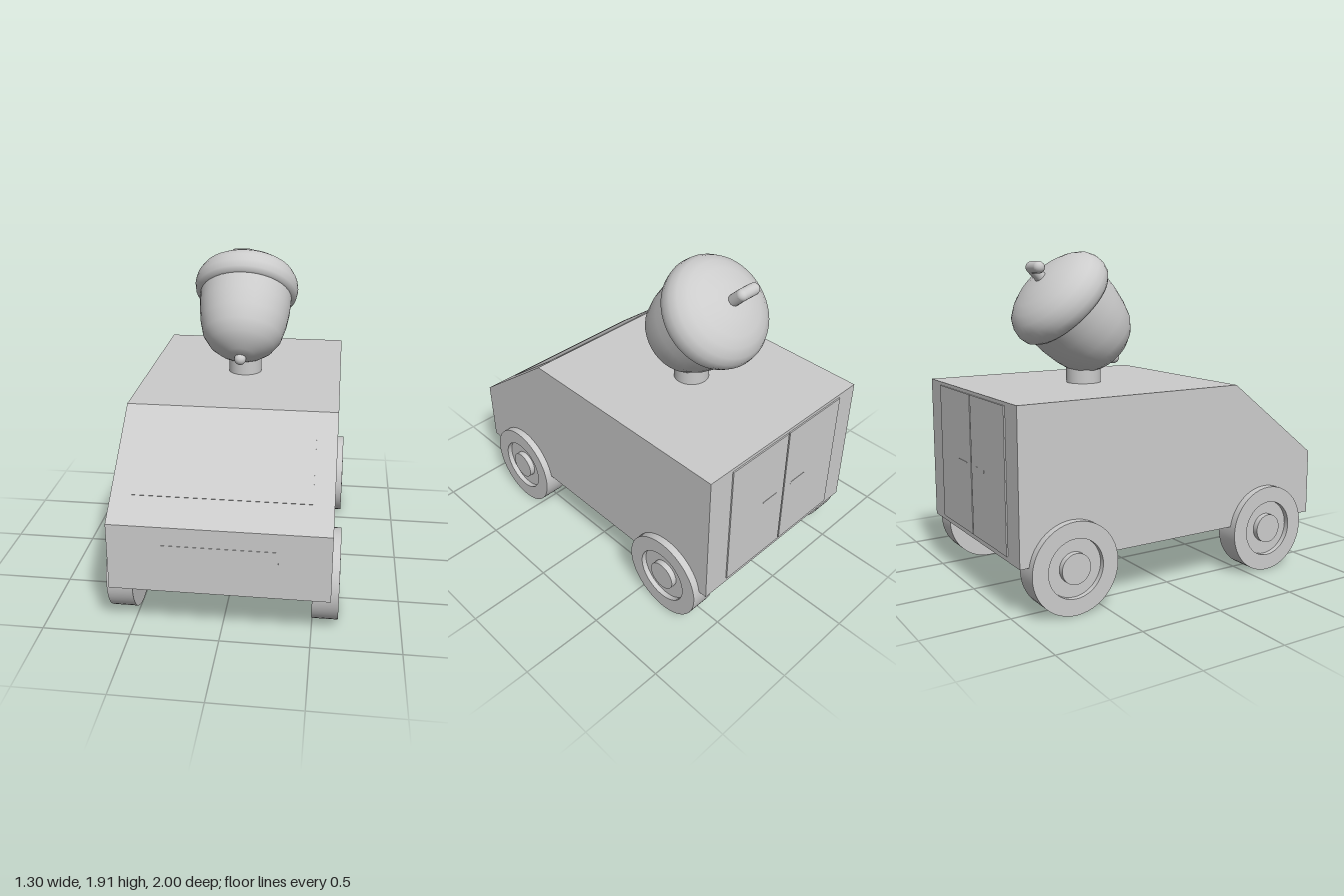
import * as THREE from 'three';
import { toCreasedNormals } from 'three/addons/utils/BufferGeometryUtils.js';

const grey = new THREE.MeshStandardMaterial({ color: 0xcccccc });
const points = (list) => list.map(([x, y]) => new THREE.Vector2(x, y));

function add(parent, name, geometry, x = 0, y = 0, z = 0) {
  const mesh = new THREE.Mesh(geometry, grey);
  mesh.name = name;
  mesh.position.set(x, y, z);
  parent.add(mesh);
  return mesh;
}

// Van shell: side profile (z, y) extruded across the width
function buildBody(parent) {
  const width = 1.206;
  const profile = new THREE.Shape(points([[1, 0.3], [1, 0.69], [0.41, 1.15], [-0.99, 1.15], [-0.99, 0.3]]));
  const shell = new THREE.ExtrudeGeometry(profile, { depth: width, bevelEnabled: false });
  shell.rotateY(-Math.PI / 2).translate(width / 2, 0, 0);
  add(parent, 'body', shell);

  // Nearly flush windshield and grille panels
  const windshield = add(parent, 'windshield', new THREE.BoxGeometry(0.975, 0.006, 0.51), 0, 0.957, 0.658);
  windshield.rotation.x = Math.atan2(0.46, 0.59);
  add(parent, 'grille', new THREE.BoxGeometry(0.64, 0.085, 0.004), 0, 0.54, 1);

  // Rear double doors with handles
  for (const side of [-1, 1]) {
    add(parent, 'rearDoor', new THREE.BoxGeometry(0.445, 0.8, 0.02), side * 0.2275 - 0.01, 0.73, -0.988);
    add(parent, 'doorHandle', new THREE.BoxGeometry(0.12, 0.015, 0.004), side * 0.12 - 0.01, 0.73, -0.998);
  }
}

// Wheels: turned disc with a recessed rim and raised hub
function buildWheels(parent) {
  const profile = points([
    [0, 0], [0.258, 0], [0.258, 0.146], [0.165, 0.146],
    [0.165, 0.115], [0.086, 0.115], [0.086, 0.149], [0, 0.149],
  ]);
  const geometry = toCreasedNormals(new THREE.LatheGeometry(profile, 48), 0.6);
  for (const [end, z] of [['front', 0.642], ['rear', -0.684]]) {
    for (const side of [-1, 1]) {
      const wheel = add(parent, end + (side > 0 ? 'LeftWheel' : 'RightWheel'), geometry, side * 0.5, 0.26, z);
      wheel.rotation.z = -side * Math.PI / 2;
    }
  }
}

// Acorn: built upright around its rim, then leaned back
function buildAcorn(parent) {
  add(parent, 'neck', new THREE.CylinderGeometry(0.103, 0.103, 0.17, 32), 0, 1.225, -0.267);

  const acorn = new THREE.Group();
  acorn.name = 'acorn';
  acorn.position.set(-0.01, 1.593, -0.373);
  acorn.rotation.x = -Math.PI / 4;
  parent.add(acorn);

  const nut = points([
    [0, -0.425], [0.05, -0.42], [0.09, -0.41], [0.15, -0.38], [0.2, -0.342],
    [0.243, -0.28], [0.268, -0.19], [0.283, -0.09], [0.288, 0.02],
  ]);
  add(acorn, 'nut', new THREE.LatheGeometry(nut, 40));
  add(acorn, 'tip', new THREE.SphereGeometry(0.036, 20, 14), 0, -0.435, 0);

  const cap = points([
    [0, 0.005], [0.28, 0.002], [0.3, 0.008], [0.318, 0.03], [0.326, 0.07], [0.319, 0.115],
    [0.296, 0.158], [0.25, 0.194], [0.195, 0.221], [0.1, 0.244], [0, 0.25],
  ]);
  add(acorn, 'cap', toCreasedNormals(new THREE.LatheGeometry(cap, 48), 0.9));

  // Stem rises from the cap and bends sideways
  add(acorn, 'stem', new THREE.CapsuleGeometry(0.034, 0.15, 8, 20), 0, 0.25, 0);
  const bend = add(acorn, 'stemBend', new THREE.CapsuleGeometry(0.034, 0.09, 8, 20), -0.045, 0.325, 0);
  bend.rotation.z = Math.PI / 2;
}

export function createModel() {
  const model = new THREE.Group();
  model.name = 'acornVan';
  buildBody(model);
  buildWheels(model);
  buildAcorn(model);
  return model;
}
